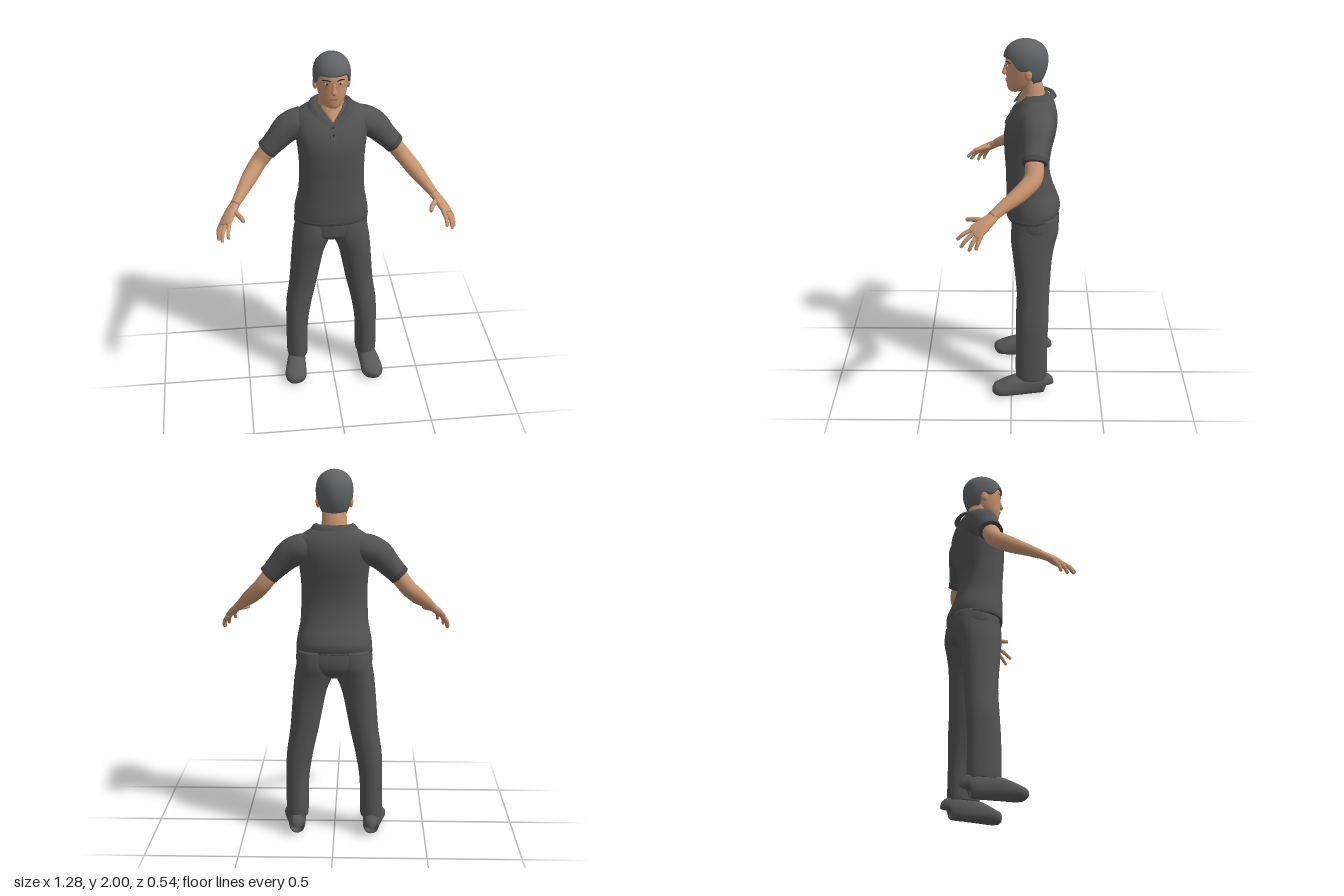
import * as THREE from 'three';

const mat = (name, color) => Object.assign(new THREE.MeshStandardMaterial({ color }), { name });
const V = (x, y, z) => new THREE.Vector3(x, y, z);

// Smooth in-between rows through a few key rows (Catmull-Rom)
function smoothRows(rows, steps) {
  const out = [];
  for (let i = 0; i < rows.length - 1; i++) {
    const [a, b, c, d] = [rows[Math.max(i - 1, 0)], rows[i], rows[i + 1], rows[Math.min(i + 2, rows.length - 1)]];
    for (let s = 0; s < steps; s++) {
      const t = s / steps;
      out.push(b.map((v, k) => v + 0.5 * t * (c[k] - a[k] + t * (2 * a[k] - 5 * v + 4 * c[k] - d[k] + t * (3 * (v - c[k]) + d[k] - a[k])))));
    }
  }
  out.push(rows[rows.length - 1]);
  return out;
}

// Grid of points to surface; rings run around, rows run upward
function skin(grid, wrap = true, caps = true) {
  const n = grid[0].length, m = grid.length, pos = [], idx = [];
  grid.forEach(r => r.forEach(p => pos.push(p.x, p.y, p.z)));
  for (let j = 0; j < m - 1; j++) {
    for (let i = 0; i < (wrap ? n : n - 1); i++) {
      const k = (i + 1) % n, a = j * n + i, b = j * n + k;
      idx.push(a, b, b + n, a, b + n, a + n);
    }
  }
  if (caps) {
    [0, m - 1].forEach((row, e) => {
      const c = V(0, 0, 0);
      grid[row].forEach(p => c.addScaledVector(p, 1 / n));
      const ci = pos.length / 3;
      pos.push(c.x, c.y, c.z);
      for (let i = 0; i < n; i++) {
        const a = row * n + i, b = row * n + (i + 1) % n;
        if (e) idx.push(a, b, ci); else idx.push(b, a, ci);
      }
    });
  }
  const g = new THREE.BufferGeometry();
  g.setAttribute('position', new THREE.Float32BufferAttribute(pos, 3));
  g.setIndex(idx);
  g.computeVertexNormals();
  return g;
}

const pw = (v, p) => Math.sign(v) * Math.abs(v) ** (2 / p);
function ring(c, u, v, p, n) {
  return Array.from({ length: n }, (_, i) => {
    const a = i / n * Math.PI * 2;
    return c.clone().addScaledVector(u, pw(Math.sin(a), p)).addScaledVector(v, pw(Math.cos(a), p));
  });
}

// Level cross-sections: [y, centreX, halfWidth, zFront, zBack]
function body(rows, p = 2, n = 40) {
  return skin(smoothRows(rows, 5).map(([y, x, w, f, b]) =>
    ring(V(x, y, (f + b) / 2), V(w, 0, 0), V(0, 0, (f - b) / 2), p, n)));
}

// Cross-sections square to a path: [x, y, z, radiusU, radiusV]
function limb(pts, hint, p = 2, n = 20) {
  const rows = smoothRows(pts, 5), at = i => V(...rows[Math.min(Math.max(i, 0), rows.length - 1)].slice(0, 3));
  return skin(rows.map((r, i) => {
    const t = at(i + 1).sub(at(i - 1)).normalize();
    const u = hint.clone().addScaledVector(t, -hint.dot(t)).normalize();
    const v = u.clone().cross(t);
    return ring(at(i), u.multiplyScalar(r[3]), v.multiplyScalar(r[4]), p, n);
  }));
}

function mirrored(geo) {
  const g = geo.clone().scale(-1, 1, 1), ix = g.index.array;
  for (let i = 0; i < ix.length; i += 3) [ix[i], ix[i + 1]] = [ix[i + 1], ix[i]];
  g.computeVertexNormals();
  return g;
}

const ball = (x, y, z, sx, sy, sz) => new THREE.SphereGeometry(1, 20, 14).scale(sx, sy, sz).translate(x, y, z);

export function createModel() {
  const model = new THREE.Group();
  const skinTone = mat('skin', 0xc8946f), shirt = mat('shirt grey', 0x525252), trim = mat('trim grey', 0x464646);
  const trousers = mat('trouser grey', 0x525252), shoes = mat('shoe grey', 0x585858), hairMat = mat('hair grey', 0x606365);
  const lips = mat('lips', 0xa86a55), eyeWhite = mat('eye white', 0xc9c0b8), dark = mat('dark brown', 0x2e2623);
  const collarMat = mat('collar grey', 0x4f4f4f);
  collarMat.side = THREE.DoubleSide;
  const add = (name, geo, m) => {
    const mesh = new THREE.Mesh(geo, m);
    mesh.name = name;
    model.add(mesh);
    return mesh;
  };
  const pair = (name, geo, m) => {
    add(name + 'Left', geo, m);
    add(name + 'Right', mirrored(geo), m);
  };

  // Trousers
  add('trouserSeat', body([[0.89, 0, 0.05, -0.06, -0.17], [0.93, 0, 0.15, -0.005, -0.238],
    [0.98, 0, 0.204, 0, -0.26], [1.06, 0, 0.198, 0, -0.255]], 2.2), trousers);
  pair('trouserLeg', body([[0.1, 0.205, 0.056, -0.035, -0.19], [0.115, 0.205, 0.061, -0.025, -0.2], [0.3, 0.203, 0.063, -0.025, -0.2],
    [0.45, 0.19, 0.072, -0.03, -0.205], [0.6, 0.163, 0.078, -0.03, -0.208], [0.8, 0.135, 0.09, -0.01, -0.22],
    [0.9, 0.112, 0.103, 0.003, -0.238], [0.97, 0.103, 0.101, 0.002, -0.255], [1.05, 0.1, 0.095, -0.01, -0.25]], 2.2), trousers);

  // Shoes with flattened soles
  const shoe = limb([[0.205, 0.05, -0.2, 0.02, 0.03], [0.205, 0.06, -0.188, 0.042, 0.058], [0.21, 0.058, -0.1, 0.05, 0.064],
    [0.22, 0.05, -0.02, 0.058, 0.056], [0.227, 0.035, 0.05, 0.062, 0.04], [0.227, 0.03, 0.09, 0.045, 0.03],
    [0.225, 0.028, 0.104, 0.018, 0.014]], V(1, 0, 0), 2.4);
  const sp = shoe.attributes.position;
  for (let i = 0; i < sp.count; i++) sp.setY(i, Math.max(sp.getY(i), 0));
  shoe.computeVertexNormals();
  pair('shoe', shoe, shoes);

  // Shirt
  add('shirtBody', body([[1.03, 0, 0.203, 0.026, -0.25], [1.08, 0, 0.203, 0.03, -0.264], [1.13, 0, 0.195, 0.03, -0.25],
    [1.2, 0, 0.182, 0.03, -0.222], [1.3, 0, 0.178, 0.033, -0.203], [1.4, 0, 0.178, 0.04, -0.213], [1.5, 0, 0.188, 0.04, -0.235],
    [1.58, 0, 0.2, 0.015, -0.242], [1.64, 0, 0.2, -0.022, -0.23], [1.68, 0, 0.15, -0.05, -0.21],
    [1.71, 0, 0.095, -0.068, -0.19]], 2.3), shirt);
  add('shirtHem', body([[1.028, 0, 0.205, 0.028, -0.252], [1.045, 0, 0.206, 0.03, -0.258]], 2.3), trim);
  const Z = V(0, 0, 1);
  pair('sleeve', limb([[0.1, 1.61, -0.13, 0.07, 0.06], [0.17, 1.592, -0.135, 0.088, 0.078], [0.235, 1.56, -0.13, 0.08, 0.077],
    [0.29, 1.505, -0.122, 0.07, 0.064], [0.345, 1.447, -0.117, 0.063, 0.054]], Z, 2, 28), shirt);
  pair('sleeveCuff', limb([[0.33, 1.463, -0.118, 0.066, 0.057], [0.348, 1.444, -0.117, 0.066, 0.056]], Z, 2, 28), trim);

  // Folded collar, open at the throat
  const collar = [[0.125, 0.12, -0.027], [0.112, 0.11, -0.008], [0.094, 0.095, 0], [0.082, 0.085, -0.012]].map(([w, d, dy]) =>
    Array.from({ length: 41 }, (_, i) => {
      const a = 0.25 + i / 40 * (Math.PI * 2 - 0.5), c = Math.cos(a);
      return V(Math.sin(a) * w, 1.722 + dy - 0.07 * Math.max(0, c) ** 2, -0.115 + c * d);
    }));
  add('collar', skin(collar, false, false), collarMat);
  const placket = add('placket', new THREE.BoxGeometry(0.032, 0.1, 0.008), shirt);
  placket.position.set(0, 1.59, 0.01);
  placket.rotation.x = -0.5;
  [[1.61, 0.003], [1.575, 0.022]].forEach(([y, z]) => add('button', ball(0, y, z, 0.006, 0.006, 0.005), dark));

  // Arms and hands
  pair('arm', limb([[0.3, 1.49, -0.12, 0.045, 0.042], [0.345, 1.437, -0.118, 0.048, 0.045], [0.395, 1.375, -0.108, 0.047, 0.044],
    [0.45, 1.318, -0.04, 0.042, 0.042], [0.5, 1.27, 0.04, 0.032, 0.031], [0.535, 1.235, 0.093, 0.027, 0.024]], Z), skinTone);
  const across = V(0.6, -0.25, -0.75);
  pair('palm', limb([[0.525, 1.243, 0.078, 0.025, 0.022], [0.555, 1.215, 0.118, 0.035, 0.021], [0.583, 1.183, 0.165, 0.043, 0.017],
    [0.594, 1.168, 0.188, 0.037, 0.011]], across, 2.3), skinTone);
  const fingers = {
    thumb: [[0.55, 1.218, 0.115], [0.512, 1.21, 0.178], [0.495, 1.204, 0.226]],
    indexFinger: [[0.568, 1.183, 0.19], [0.577, 1.16, 0.235], [0.578, 1.13, 0.269]],
    middleFinger: [[0.585, 1.178, 0.175], [0.605, 1.142, 0.22], [0.612, 1.102, 0.25]],
    ringFinger: [[0.597, 1.172, 0.16], [0.623, 1.13, 0.19], [0.63, 1.09, 0.208]],
    littleFinger: [[0.605, 1.168, 0.145], [0.627, 1.13, 0.163], [0.631, 1.098, 0.173]],
  };
  for (const [name, [a, b, c]] of Object.entries(fingers)) {
    const r = name === 'thumb' ? 0.013 : 0.0105;
    const nearTip = c.map((v, k) => v * 0.88 + b[k] * 0.12);
    pair(name, limb([[...a, r * 1.1, r * 1.1], [...b, r, r], [...nearTip, r * 0.8, r * 0.8], [...c, r * 0.35, r * 0.35]], across, 2, 12), skinTone);
  }

  // Neck and head
  add('neck', body([[1.635, 0, 0.012, -0.012, -0.1], [1.66, 0, 0.045, -0.027, -0.14], [1.69, 0, 0.072, -0.042, -0.17],
    [1.72, 0, 0.067, -0.048, -0.172], [1.8, 0, 0.063, -0.045, -0.15]]), skinTone);
  add('head', body([[1.722, 0, 0.022, 0.006, -0.04], [1.735, 0, 0.044, 0.02, -0.08], [1.765, 0, 0.064, 0.027, -0.125],
    [1.8, 0, 0.076, 0.029, -0.15], [1.84, 0, 0.084, 0.03, -0.165], [1.88, 0, 0.087, 0.034, -0.172],
    [1.92, 0, 0.085, 0.026, -0.17], [1.96, 0, 0.06, -0.01, -0.14]]), skinTone);
  add('nose', limb([[0, 1.87, 0.028, 0.008, 0.008], [0, 1.845, 0.035, 0.009, 0.009], [0, 1.822, 0.038, 0.016, 0.012],
    [0, 1.812, 0.032, 0.01, 0.006]], V(1, 0, 0)), skinTone);
  add('mouth', ball(0, 1.784, 0.027, 0.025, 0.007, 0.006), lips);
  pair('ear', ball(0.087, 1.832, -0.085, 0.012, 0.032, 0.02), skinTone);
  pair('eye', ball(0.034, 1.867, 0.022, 0.014, 0.006, 0.005), eyeWhite);
  pair('iris', ball(0.034, 1.867, 0.025, 0.006, 0.006, 0.004), dark);
  pair('eyebrow', limb([[0.015, 1.883, 0.03, 0.003, 0.003], [0.035, 1.888, 0.024, 0.004, 0.003],
    [0.058, 1.883, 0.007, 0.002, 0.002]], V(0, 1, 0), 2, 8), dark);

  // Short hair with a hairline that drops past the temples to the nape
  const { smoothstep } = THREE.MathUtils;
  const hairRows = [];
  for (let j = 0; j <= 17; j++) {
    hairRows.push(Array.from({ length: 48 }, (_, i) => {
      const a = i / 48 * Math.PI * 2, c = Math.cos(a);
      const edge = 1.91 - 0.06 * (1 - smoothstep(c, 0.25, 0.75)) - 0.075 * (1 - smoothstep(c, -0.5, -0.1));
      const t = Math.max(j - 1, 0) / 16;
      const y = edge + (2 - edge) * Math.sin(t * Math.PI / 2);
      const h = (y - 1.89) / 0.11;
      let r = h > 0 ? Math.sqrt(Math.max(0, 1 - h ** 2.4)) : 1 - 0.27 * h * h;
      if (j === 0) r *= 0.86;
      return V(Math.sin(a) * 0.099 * r, y, -0.073 + c * 0.117 * r);
    }));
  }
  add('hair', skin(hairRows, true, false), hairMat);
  return model;
}
